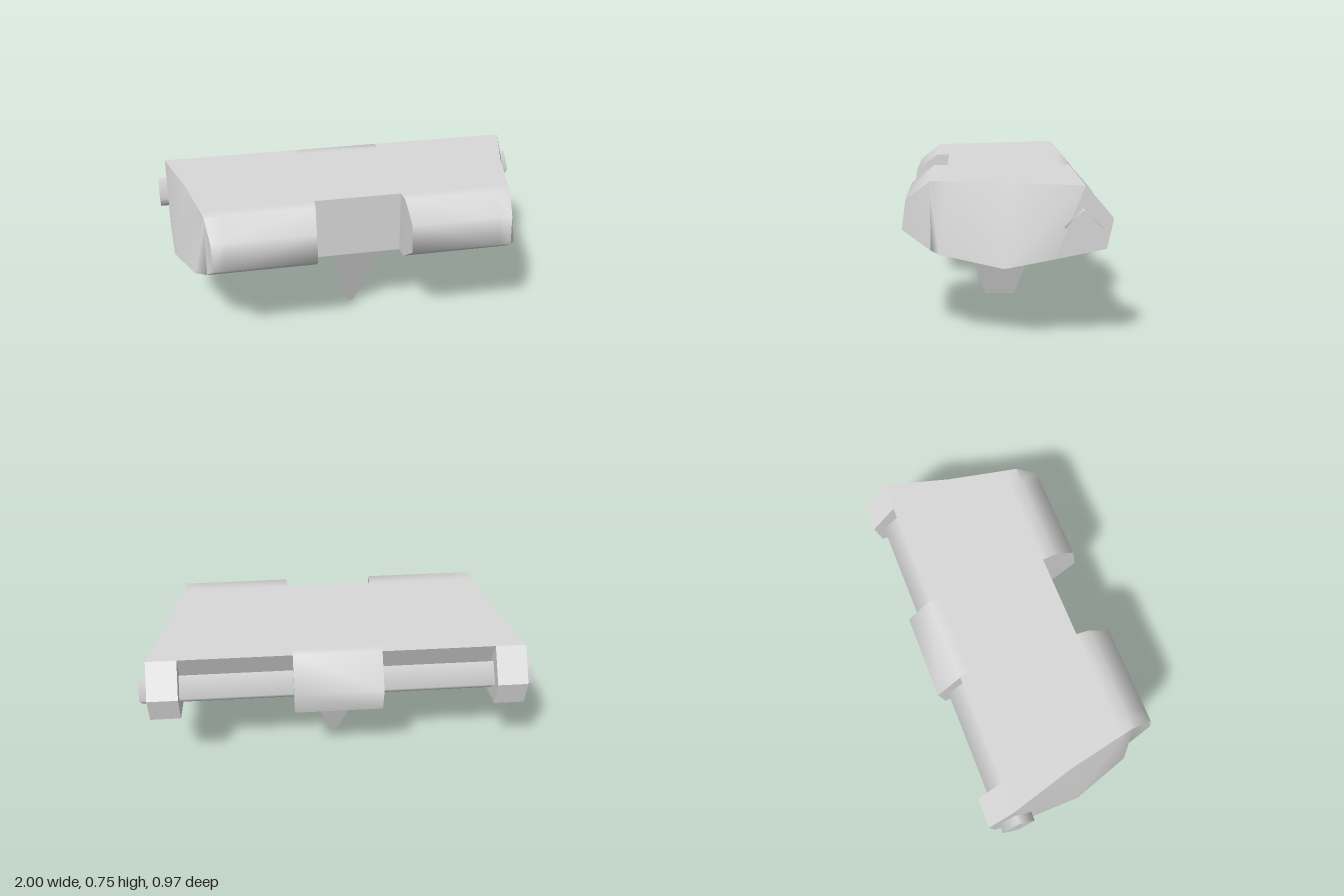
import * as THREE from 'three';
import { toCreasedNormals } from 'three/addons/utils/BufferGeometryUtils.js';

// Joins matching rings of [x, y, z] points, ordered from low to high x, and closes both ends.
// Rings run counter-clockwise seen from +x. side = -1 mirrors the solid.
function loft(rings, crease, side = 1, caps) {
  const n = rings[0].length, last = (rings.length - 1) * n, index = [];
  const tri = (a, b, c) => (side > 0 ? index.push(a, b, c) : index.push(a, c, b));
  for (let r = 0; r < last; r += n) {
    for (let i = 0; i < n; i++) {
      const j = (i + 1) % n;
      tri(r + i, r + j, r + n + j);
      tri(r + i, r + n + j, r + n + i);
    }
  }
  if (!caps) caps = Array.from({ length: n - 2 }, (_, i) => [0, i + 1, i + 2]);
  for (const [a, b, c] of caps) {
    tri(last + a, last + b, last + c);
    tri(a, c, b);
  }
  const g = new THREE.BufferGeometry();
  const points = rings.flat().flatMap(([x, y, z]) => [x * side, y, z]);
  g.setAttribute('position', new THREE.Float32BufferAttribute(points, 3));
  g.setIndex(index);
  return toCreasedNormals(g.toNonIndexed(), crease);
}

// Straight solid from a convex [z, y] profile between two x positions
const prism = (profile, x0, x1, crease, side) =>
  loft([x0, x1].map(x => profile.map(([z, y]) => [x, y, z])), crease, side);

export function createModel() {
  const model = new THREE.Group();
  const metal = new THREE.MeshStandardMaterial({ color: 0xd8d8d8 });
  metal.name = 'light grey metal';
  const add = (name, geometry) => {
    const mesh = new THREE.Mesh(geometry, metal);
    mesh.name = name;
    model.add(mesh);
    return mesh;
  };

  // Wing outline: z, y, inner x, middle x, outer x, outer y
  const outline = [
    [-0.355, 0.75, 0.22, 0.80, 0.955, 0.75],
    [-0.02, 0.75, 0.22, 0.70, 0.86, 0.75],
    [0.28, 0.75, 0.225, 0.70, 0.798, 0.75],
    [0.35, 0.75, 0.23, 0.70, 0.785, 0.75],
    [0.465, 0.66, 0.242, 0.70, 0.765, 0.66],
    [0.485, 0.515, 0.242, 0.70, 0.762, 0.515],
    [0.35, 0.42, 0.23, 0.77, 0.79, 0.42],
    [0.31, 0.42, 0.225, 0.79, 0.85, 0.414],
    [0.01, 0.42, 0.22, 0.80, 0.945, 0.366],
    [-0.22, 0.42, 0.22, 0.80, 0.955, 0.412],
  ];
  const wingRings = [
    outline.map(([z, y, x]) => [x, y, z]),
    outline.map(([z, y, , x]) => [x, y, z]),
    outline.map(([z, , , , x, y]) => [x, y, z]),
  ];
  const wingCaps = [[0, 1, 8], [0, 8, 9], [1, 2, 8], [2, 7, 8], [2, 3, 7], [3, 6, 7], [3, 4, 5], [3, 5, 6]];

  // End lug that holds the rod
  const lug = [[-0.355, 0.75], [-0.22, 0.412], [-0.455, 0.46], [-0.485, 0.60]];

  for (const [side, label] of [[1, 'left'], [-1, 'right']]) {
    add(label + 'Wing', loft(wingRings, 1.12, side, wingCaps));
    add(label + 'Lug', prism(lug, 0.80, 0.955, 0.3, side));
  }

  // Centre block with rounded rear knuckle and flat front notch wall
  const centre = [
    [-0.485, 0.60], [-0.355, 0.75], [-0.30, 0.75], [0.28, 0.75],
    [0.28, 0.42], [-0.22, 0.42], [-0.455, 0.46],
  ];
  add('centreBlock', prism(centre, -0.225, 0.225, 1.12));

  // Four-sided hinge rod running the full width
  const rod = add('hingeRod', new THREE.CylinderGeometry(0.085, 0.085, 2, 4));
  rod.rotation.z = Math.PI / 2;
  rod.position.set(0, 0.563, -0.345);

  // Tapered tooth below the body
  const tooth = new THREE.BoxGeometry(2, 0.45, 2).translate(0, 0.225, 0);
  const p = tooth.attributes.position;
  for (let i = 0; i < p.count; i++) {
    const top = p.getY(i) > 0.2;
    p.setX(i, p.getX(i) * (top ? 0.155 : 0.015));
    p.setZ(i, p.getZ(i) * (top ? 0.233 : 0.08));
  }
  tooth.computeVertexNormals();
  add('guideTooth', tooth);

  return model;
}
